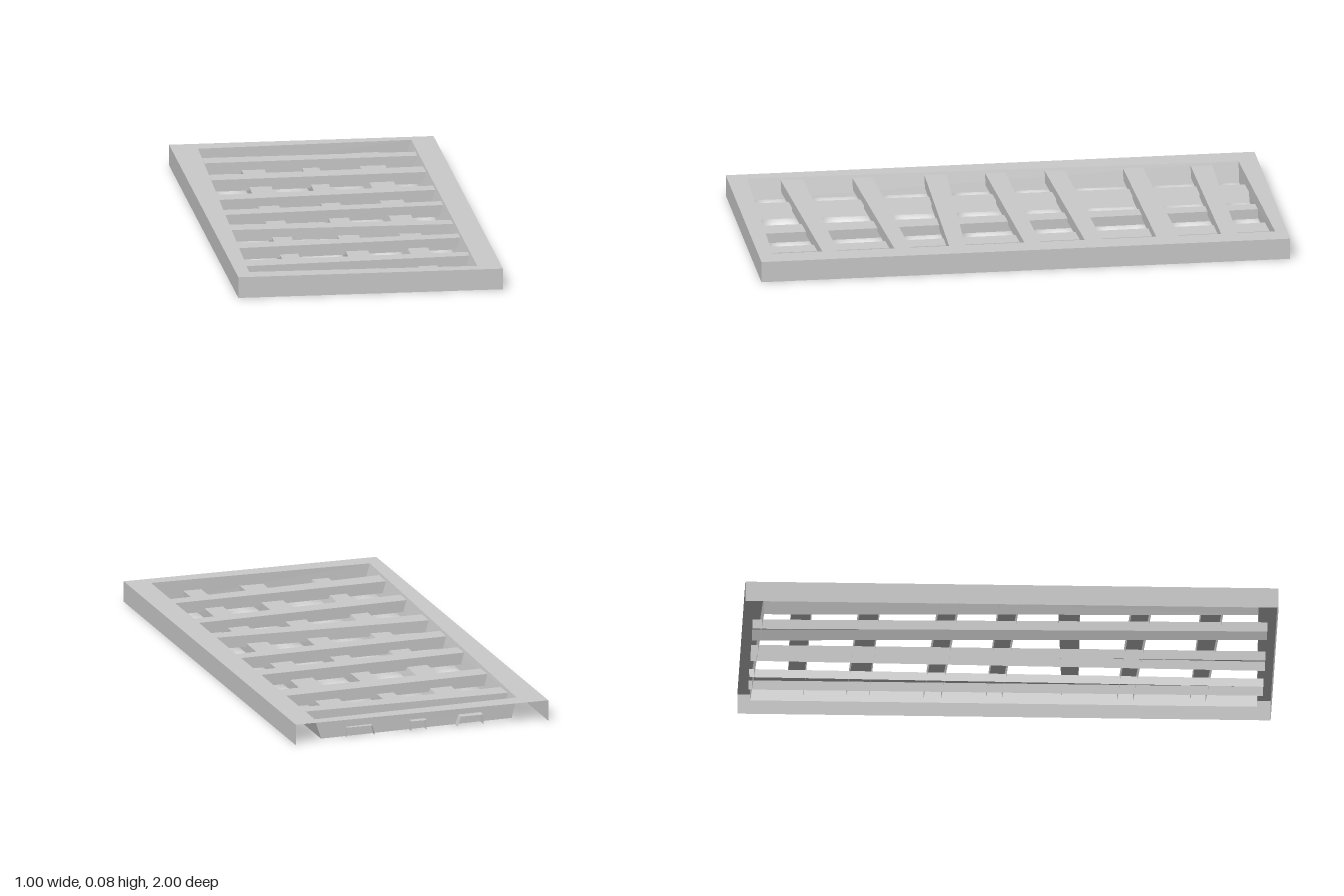
import * as THREE from 'three';

const material = new THREE.MeshStandardMaterial({
  color: 0xcccccc, flatShading: true, side: THREE.DoubleSide,
});

// Builds one thin sheet mesh from quads, corners counter-clockwise from outside
function sheet(name, quads) {
  const points = quads.flatMap(([a, b, c, d]) => [a, b, c, a, c, d]);
  const geometry = new THREE.BufferGeometry();
  geometry.setAttribute('position', new THREE.Float32BufferAttribute(points.flat(), 3));
  geometry.computeVertexNormals();
  const mesh = new THREE.Mesh(geometry, material);
  mesh.name = name;
  return mesh;
}

// Quads joining two open sections of equal length
function loft(from, to) {
  return from.slice(1).map((p, i) => [from[i], to[i], to[i + 1], p]);
}

// Quads joining two four-cornered rings, leaving out the listed sides
function band(lower, upper, skip = []) {
  return [0, 1, 2, 3].filter((i) => !skip.includes(i)).map((i) => {
    const j = (i + 1) % 4;
    return [lower[i], lower[j], upper[j], upper[i]];
  });
}

const TOP = 0.08;
const ring = (corners, y) => corners.map(([x, z]) => [x, y, z]);

export function createModel() {
  const model = new THREE.Group();
  model.name = 'grate';

  // Frame corners run front left, back left, back right, front right (in +x first order)
  const outer = [[-0.5, 1], [0.5, 1], [0.5, -1], [-0.5, -1]];
  const holeTop = [[-0.45, 0.926], [0.41, 0.946], [0.41, -0.955], [-0.4, -0.926]];
  const holeBottom = [[-0.428, 0.926], [0.385, 0.946], [0.385, -0.955], [-0.38, -0.926]];
  const frame = new THREE.Group();
  frame.name = 'frame';
  frame.add(
    // The back side has no outer skirt
    sheet('outerSkirt', band(ring(outer, 0), ring(outer, TOP), [2])),
    sheet('topRim', band(ring(outer, TOP), ring(holeTop, TOP))),
    sheet('innerWall', band(ring(holeTop, TOP), ring(holeBottom, 0.002))),
  );
  model.add(frame);

  // Slats across the opening: z edges at the -x end, then at the +x end
  const slats = [
    [-0.825, -0.745, -0.815, -0.755],
    [-0.565, -0.49, -0.595, -0.51],
    [-0.27, -0.195, -0.305, -0.24],
    [-0.045, 0.03, -0.07, -0.012],
    [0.175, 0.258, 0.215, 0.275],
    [0.455, 0.53, 0.42, 0.48],
    [0.715, 0.8, 0.695, 0.752],
  ];
  const slatTop = 0.07, slatBottom = 0.025;
  slats.forEach(([a, b, c, d], i) => {
    const end = (x, z0, z1) => [
      [x, slatBottom, z1], [x, slatTop, z1], [x, slatTop, z0], [x, slatBottom, z0],
    ];
    const leftEdge = -0.422 - 0.03 * (a + b) / 2;
    model.add(sheet(`crossSlat${i + 1}`, loft(end(leftEdge, a, b), end(0.412, c, d))));
  });

  // Lengthwise runners below: x edges at the back, at the front, and flare of each side
  const runners = [
    [-0.255, -0.165, -0.288, -0.225, 0, 0.013],
    [-0.03, 0.03, -0.03, 0.062, 0, 0],
    [0.185, 0.285, 0.213, 0.283, 0.01, 0],
  ];
  const runnerTop = 0.038;
  runners.forEach(([a, b, c, d, flareLow, flareHigh], i) => {
    const end = (z, x0, x1) => [
      [x0 - flareLow, 0, z], [x0, runnerTop, z], [x1, runnerTop, z], [x1 + flareHigh, 0, z],
    ];
    model.add(sheet(`lengthRunner${i + 1}`, loft(end(-0.965, a, b), end(0.965, c, d))));
  });

  return model;
}
